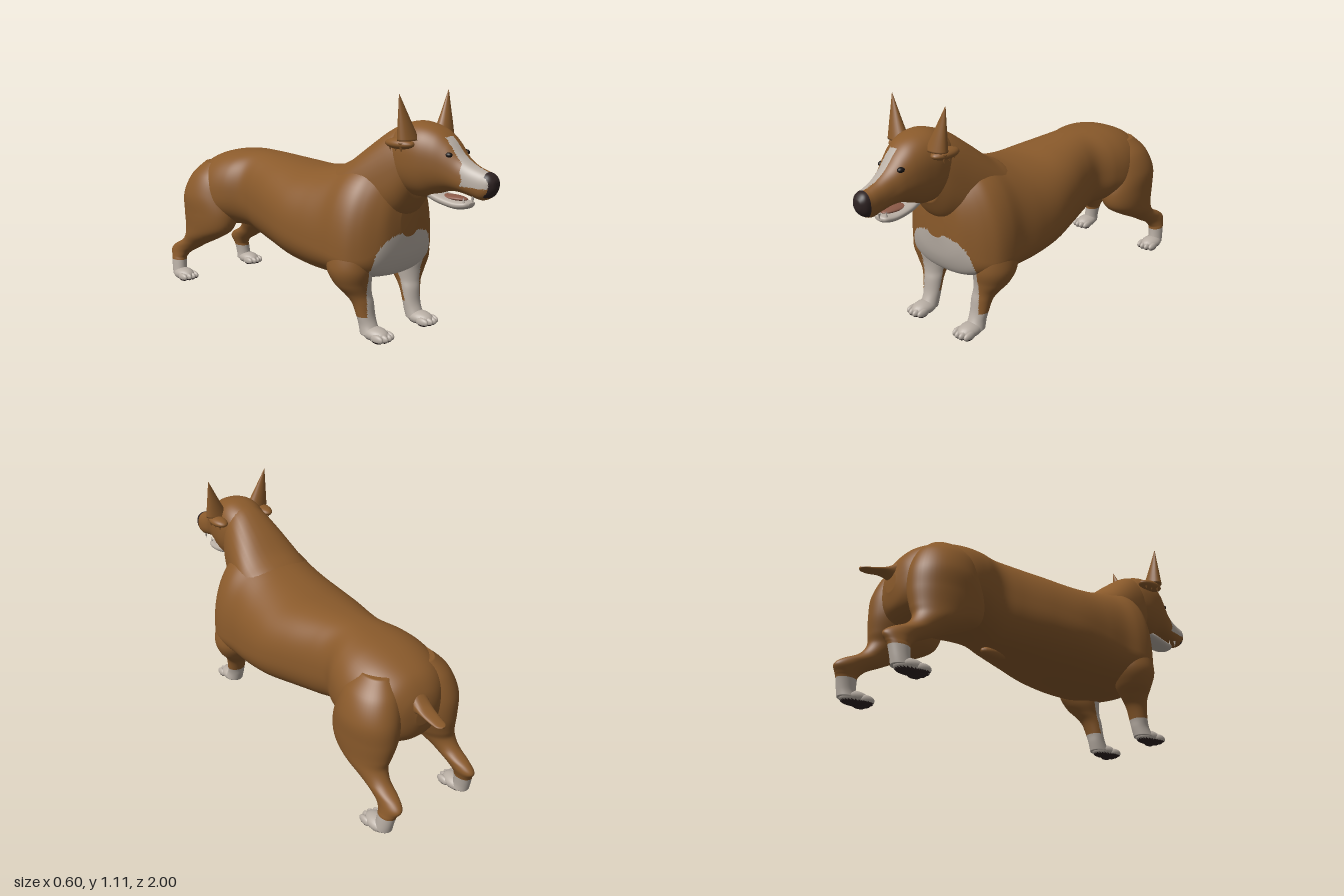
import * as THREE from 'three';

const material = (name, color) => {
  const m = new THREE.MeshStandardMaterial({ color });
  m.name = name;
  return m;
};

// Smooth interpolation of every column of a section table
function refine(rows, steps) {
  const out = [], last = rows.length - 1;
  const at = (i) => rows[Math.min(last, Math.max(0, i))];
  for (let i = 0; i < last; i++) {
    for (let k = 0; k < steps; k++) {
      const t = k / steps;
      out.push(rows[i].map((b, c) => {
        const a = at(i - 1)[c], d = at(i + 1)[c], e = at(i + 2)[c];
        return b + 0.5 * t * (d - a + t * (2 * a - 5 * b + 4 * d - e + t * (3 * (b - d) + e - a)));
      }));
    }
  }
  out.push(rows[last]);
  return out;
}

const soft = (v, p) => Math.sign(v) * Math.pow(Math.abs(v), p);

// Upright section along z: [z, top, bottom, widest height, half width, centre x]
const acrossZ = ([z, top, bottom, mid, w, cx], a) => {
  const s = soft(Math.sin(a), 0.86);
  return [cx + w * soft(Math.cos(a), 0.86), mid + s * (s > 0 ? top - mid : mid - bottom), z];
};
// Level section along y: [y, centre x, centre z, radius x, radius z]
const acrossY = ([y, cx, cz, rx, rz], a) => [cx + rx * Math.cos(a), y, cz - rz * Math.sin(a)];

// Closed skin through the sections
function loft(rows, section, sides = 40, steps = 6) {
  const rings = refine(rows, steps), pos = [], index = [];
  for (const r of rings) {
    for (let j = 0; j < sides; j++) pos.push(...section(r, (j / sides) * Math.PI * 2));
  }
  const n = rings.length;
  for (let i = 0; i < n - 1; i++) {
    for (let j = 0; j < sides; j++) {
      const k = (j + 1) % sides, a = i * sides + j, b = i * sides + k;
      index.push(a, b, a + sides, b, b + sides, a + sides);
    }
  }
  for (const end of [0, n - 1]) {
    const mid = [0, 0, 0], centre = pos.length / 3;
    for (let j = 0; j < sides; j++) {
      for (let c = 0; c < 3; c++) mid[c] += pos[(end * sides + j) * 3 + c] / sides;
    }
    pos.push(...mid);
    for (let j = 0; j < sides; j++) {
      const a = end * sides + j, b = end * sides + ((j + 1) % sides);
      if (end) index.push(a, b, centre);
      else index.push(b, a, centre);
    }
  }
  const g = new THREE.BufferGeometry();
  g.setAttribute('position', new THREE.Float32BufferAttribute(pos, 3));
  g.setIndex(index);
  g.computeVertexNormals();
  return g;
}

// Sorts faces into material groups by a rule on the face centre
function paint(g, count, rule) {
  const p = g.attributes.position, src = g.index.array;
  const lists = Array.from({ length: count }, () => []);
  for (let i = 0; i < src.length; i += 3) {
    const t = [src[i], src[i + 1], src[i + 2]];
    const mean = (f) => t.reduce((s, v) => s + p[f](v), 0) / 3;
    lists[rule(mean('getX'), mean('getY'), mean('getZ'))].push(...t);
  }
  g.setIndex(lists.flat());
  let start = 0;
  lists.forEach((l, m) => {
    if (l.length) g.addGroup(start, l.length, m);
    start += l.length;
  });
  return g;
}

export function createModel() {
  const coat = material('brown coat', 0x8a5a2b);
  const white = material('white markings', 0xb8aea4);
  const dark = material('dark nose and pads', 0x2e2222);
  const eyeDark = material('dark eye', 0x1a1412);
  const mouth = material('mouth', 0x8c5a48);
  const group = new THREE.Group();
  const add = (name, geo, mat) => {
    const mesh = new THREE.Mesh(geo, mat);
    mesh.name = name;
    group.add(mesh);
    return mesh;
  };
  const ball = (x, y, z, rx, ry, rz) =>
    new THREE.SphereGeometry(1, 24, 16).scale(rx, ry, rz).translate(x, y, z);

  // Torso with white chest patch
  const torso = loft([
    [-0.86, 0.53, 0.45, 0.49, 0.04, 0], [-0.84, 0.60, 0.38, 0.50, 0.11, 0],
    [-0.79, 0.665, 0.34, 0.50, 0.18, 0], [-0.70, 0.71, 0.33, 0.50, 0.235, 0],
    [-0.60, 0.735, 0.33, 0.50, 0.25, 0], [-0.50, 0.743, 0.34, 0.52, 0.23, 0],
    [-0.40, 0.745, 0.33, 0.52, 0.192, 0], [-0.30, 0.74, 0.305, 0.50, 0.21, 0],
    [-0.15, 0.728, 0.28, 0.48, 0.255, 0], [0, 0.72, 0.255, 0.45, 0.29, 0],
    [0.15, 0.74, 0.24, 0.42, 0.295, 0], [0.27, 0.775, 0.24, 0.40, 0.29, 0],
    [0.36, 0.80, 0.25, 0.39, 0.297, 0], [0.43, 0.80, 0.26, 0.38, 0.285, 0],
    [0.48, 0.78, 0.27, 0.38, 0.25, 0], [0.52, 0.75, 0.29, 0.40, 0.20, 0],
    [0.55, 0.69, 0.36, 0.47, 0.14, 0], [0.565, 0.60, 0.46, 0.53, 0.06, 0],
  ], acrossZ, 80, 8);
  add('torso', paint(torso, 2, (x, y, z) => {
    const up = Math.max(0, y - 0.3) / 0.182;
    return z > 0.44 && y > 0.275 && Math.abs(x / 0.195) ** 3 + up ** 3 < 1 ? 1 : 0;
  }), [coat, white]);

  add('neck', loft([
    [0.12, 0.70, 0.52, 0.60, 0.15, 0], [0.22, 0.76, 0.50, 0.60, 0.20, 0],
    [0.30, 0.802, 0.50, 0.62, 0.205, 0], [0.40, 0.88, 0.50, 0.65, 0.185, 0],
    [0.50, 0.95, 0.52, 0.69, 0.155, 0], [0.57, 0.972, 0.57, 0.74, 0.13, 0],
    [0.62, 0.96, 0.65, 0.79, 0.105, 0],
  ], acrossZ), coat);

  // Head with white blaze and dark nose
  const head = loft([
    [0.48, 0.93, 0.72, 0.82, 0.07, 0], [0.54, 0.965, 0.68, 0.83, 0.115, 0],
    [0.61, 0.985, 0.66, 0.83, 0.128, 0], [0.68, 0.978, 0.66, 0.83, 0.122, 0],
    [0.74, 0.955, 0.685, 0.82, 0.105, 0.005], [0.79, 0.915, 0.70, 0.80, 0.085, 0.01],
    [0.84, 0.86, 0.70, 0.77, 0.066, 0.013], [0.89, 0.825, 0.69, 0.75, 0.056, 0.016],
    [0.94, 0.805, 0.68, 0.74, 0.05, 0.02], [0.975, 0.795, 0.695, 0.745, 0.044, 0.022],
    [0.995, 0.775, 0.72, 0.75, 0.026, 0.023], [1.0, 0.76, 0.735, 0.75, 0.01, 0.023],
  ], acrossZ, 72, 8);
  add('head', paint(head, 3, (x, y, z) => {
    if (z > 0.958 && y > 0.695 && x > -0.017) return 2;
    const blaze = z > 0.76 && y < 0.93 && y > 0.735 && x < 0.022;
    return blaze && x > (z > 0.86 ? -0.045 : -0.028) ? 1 : 0;
  }), [coat, white, dark]);

  add('lowerJaw', loft([
    [0.67, 0.705, 0.66, 0.685, 0.045, 0.005], [0.74, 0.685, 0.64, 0.665, 0.056, 0.008],
    [0.82, 0.668, 0.627, 0.65, 0.052, 0.01], [0.87, 0.666, 0.634, 0.652, 0.04, 0.012],
    [0.885, 0.66, 0.645, 0.652, 0.018, 0.013],
  ], acrossZ), white);
  add('tongue', ball(0.01, 0.672, 0.79, 0.033, 0.012, 0.075), mouth);

  // Both sides
  for (const s of [1, -1]) {
    const side = s > 0 ? 'left' : 'right';
    add(side + 'Eye', ball(0.014 + s * 0.061, 0.86, 0.802, 0.014, 0.012, 0.018), eyeDark);
    add(side + 'UpperFang', new THREE.ConeGeometry(0.007, 0.03, 10).rotateX(Math.PI)
      .translate(0.018 + s * 0.034, 0.68, 0.91), white);
    add(side + 'LowerFang', new THREE.ConeGeometry(0.006, 0.026, 10)
      .translate(0.012 + s * 0.03, 0.675, 0.865), white);

    // Pointed ear and the fold at its root
    add(side + 'Ear', loft([
      [0.915, s * 0.121, 0.645, 0.059, 0.038], [0.98, s * 0.137, 0.64, 0.039, 0.026],
      [1.045, s * 0.152, 0.635, 0.02, 0.013], [1.11, s * 0.167, 0.63, 0.001, 0.001],
    ], acrossY, 24), coat);
    add(side + 'EarFold', ball(s * 0.135, 0.898, 0.61, 0.04, 0.024, 0.075), coat);
    for (let k = 0; k < 3; k++) {
      add(side + 'EarTuft', new THREE.ConeGeometry(0.014, 0.04, 10).rotateX(Math.PI)
        .translate(s * (0.16 - k * 0.006), 0.885, 0.64 - k * 0.035), coat);
    }

    // Front leg, white on its front and inner face
    const front = loft([
      [0.02, s * 0.16, 0.48, 0.045, 0.05], [0.06, s * 0.158, 0.462, 0.043, 0.043],
      [0.10, s * 0.16, 0.45, 0.047, 0.04], [0.16, s * 0.165, 0.435, 0.053, 0.048],
      [0.20, s * 0.175, 0.415, 0.063, 0.062], [0.25, s * 0.19, 0.395, 0.086, 0.086],
      [0.32, s * 0.20, 0.385, 0.10, 0.11], [0.42, s * 0.195, 0.38, 0.09, 0.11],
    ], acrossY, 56, 8);
    add(side + 'FrontLeg', paint(front, 2, (x, y, z) =>
      y < 0.1 || (s * x < 0.185 && z > 0.45 - (y - 0.1) * 0.3) ? 1 : 0), [coat, white]);

    // Hind leg: foot, hock, shin and thigh
    const hind = loft([
      [0.02, s * 0.23, -0.90, 0.04, 0.045], [0.05, s * 0.23, -0.908, 0.037, 0.043],
      [0.10, s * 0.225, -0.915, 0.037, 0.047], [0.12, s * 0.22, -0.917, 0.037, 0.054],
      [0.15, s * 0.212, -0.908, 0.04, 0.076], [0.18, s * 0.207, -0.865, 0.044, 0.09],
      [0.22, s * 0.203, -0.79, 0.055, 0.09], [0.27, s * 0.195, -0.72, 0.08, 0.125],
      [0.32, s * 0.182, -0.685, 0.10, 0.165], [0.40, s * 0.17, -0.68, 0.118, 0.18],
      [0.50, s * 0.165, -0.69, 0.123, 0.165], [0.60, s * 0.145, -0.68, 0.105, 0.135],
      [0.67, s * 0.12, -0.67, 0.06, 0.08],
    ], acrossY, 48, 8);
    add(side + 'HindLeg', paint(hind, 2, (x, y) => (y < 0.1 ? 1 : 0)), [coat, white]);

    // Paws: body and four toes, flattened underneath with dark pads
    for (const [name, cx, cz] of [['FrontPaw', 0.158, 0.51], ['HindPaw', 0.232, -0.865]]) {
      const parts = [ball(s * cx, 0.024, cz, 0.048, 0.034, 0.07)];
      for (let k = -1.5; k < 2; k++) {
        parts.push(ball(s * cx + k * 0.025, 0.018, cz + 0.054 - Math.abs(k) * 0.009,
          0.015, 0.021, 0.036));
      }
      parts.forEach((g, i) => {
        const p = g.attributes.position;
        for (let v = 0; v < p.count; v++) p.setY(v, Math.max(i ? 0 : 0.002, p.getY(v)));
        add(side + name + (i ? 'Toe' : ''), paint(g, 2, (x, y) => (y < 0.008 ? 1 : 0)), [white, dark]);
      });
    }
  }

  // Short flat tail and sheath
  add('tail', loft([
    [-1.0, 0.53, 0.522, 0.526, 0.008, 0.02], [-0.985, 0.532, 0.521, 0.526, 0.024, 0.02],
    [-0.95, 0.54, 0.522, 0.53, 0.031, 0.02], [-0.90, 0.556, 0.53, 0.543, 0.037, 0.02],
    [-0.86, 0.58, 0.515, 0.55, 0.042, 0.015], [-0.80, 0.64, 0.48, 0.56, 0.05, 0.01],
  ], acrossZ, 24), coat);
  add('sheath', ball(0, 0.305, -0.31, 0.03, 0.026, 0.07), coat);

  return group;
}
